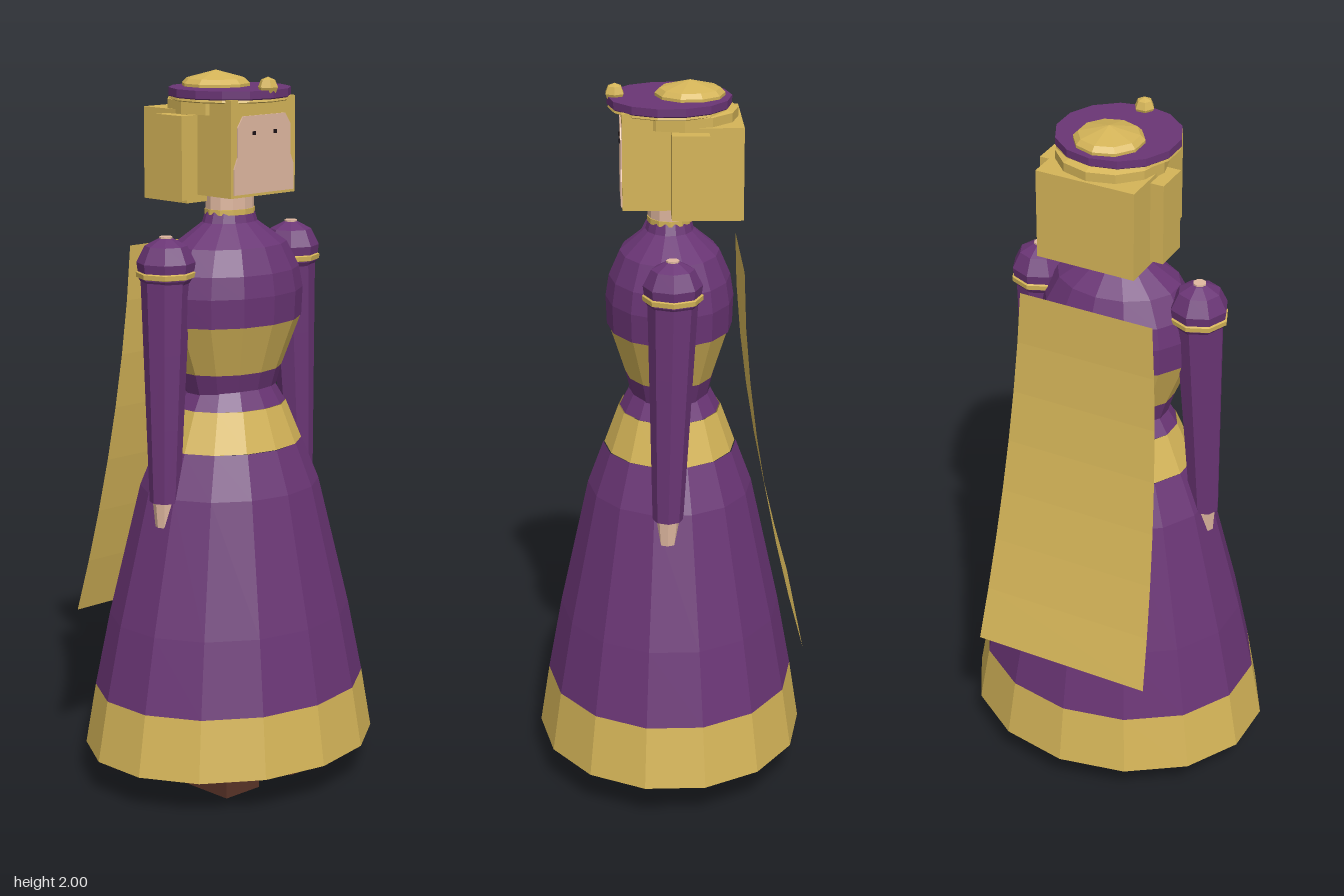
import * as THREE from 'three';

const mat = (name, color, side = THREE.FrontSide) => {
  const m = new THREE.MeshStandardMaterial({ color, side });
  m.name = name;
  return m;
};

export function createModel() {
  const purple = mat('purple cloth', 0x6a3575);
  const gold = mat('gold', 0xd4b458, THREE.DoubleSide);
  const skin = mat('skin', 0xe0b8a0);
  const brown = mat('brown leather', 0x5a3428);
  const dark = mat('dark eyes', 0x1a1015);

  const root = new THREE.Group();
  root.name = 'gownedLady';

  // Faceted mesh
  const add = (name, geometry, material, x = 0, y = 0, z = 0, parent = root) => {
    const g = geometry.index ? geometry.toNonIndexed() : geometry;
    g.computeVertexNormals();
    const mesh = new THREE.Mesh(g, material);
    mesh.name = name;
    mesh.position.set(x, y, z);
    parent.add(mesh);
    return mesh;
  };
  // Turned part from [radius, height] points, bottom to top, flattened in depth
  const turned = (name, points, material, sides, depth = 1, x = 0, z = 0, parent = root) =>
    add(name, new THREE.LatheGeometry(points.map(p => new THREE.Vector2(...p)), sides)
      .scale(1, 1, depth), material, x, 0, z, parent);
  // Box given by its limits
  const box = (name, material, x0, x1, y0, y1, z0, z1, parent = root) =>
    add(name, new THREE.BoxGeometry(x1 - x0, y1 - y0, z1 - z0), material,
      (x0 + x1) / 2, (y0 + y1) / 2, (z0 + z1) / 2, parent);

  // Skirt
  turned('skirtUnderside', [[0, 0.1], [0.438, 0.1]], purple, 14, 0.855);
  turned('skirtHem', [[0.441, 0.098], [0.41, 0.27]], gold, 14, 0.855);
  turned('skirt', [[0.41, 0.27], [0.365, 0.48], [0.27, 0.85], [0.218, 0.97]], purple, 14, 0.855);
  turned('belt', [[0.218, 0.97], [0.17, 1.08]], gold, 14, 0.84);
  turned('skirtTop', [[0.17, 1.08], [0.138, 1.13]], purple, 14, 0.82);

  // Bodice
  turned('waist', [[0.14, 1.11], [0.162, 1.18]], purple, 14, 0.76);
  turned('bodiceBand', [[0.162, 1.18], [0.222, 1.32]], gold, 14, 0.76);
  turned('bodice', [[0.222, 1.32], [0.226, 1.4], [0.214, 1.46], [0.175, 1.53],
    [0.085, 1.59], [0.075, 1.62]], purple, 14, 0.78);
  turned('collar', [[0.077, 1.612], [0.077, 1.627], [0, 1.627]], gold, 12, 0.8);
  turned('neck', [[0.074, 1.62], [0.074, 1.69]], skin, 12, 0.8);

  for (const s of [1, -1]) {
    // Arm
    const arm = new THREE.Group();
    arm.name = s > 0 ? 'leftArm' : 'rightArm';
    root.add(arm);
    turned('puffSleeve', [[0.064, 1.44], [0.074, 1.455], [0.08, 1.5], [0.058, 1.545], [0.02, 1.565],
      [0, 1.565]], purple, 8, 1, s * 0.24, 0, arm);
    turned('shoulderPoint', [[0.018, 1.563], [0.018, 1.57], [0, 1.57]], skin, 8, 1, s * 0.24, 0, arm);
    turned('sleeveBand', [[0.074, 1.458], [0.081, 1.46], [0.082, 1.473], [0.076, 1.476]],
      gold, 8, 1, s * 0.24, 0, arm);
    // Lower parts lean outward and slightly forward
    const lean = (name, top, bottom, y1, y0, material) => {
      const g = new THREE.CylinderGeometry(top, bottom, y1 - y0, 8, 3);
      g.translate(0, (y0 + y1) / 2, 0);
      const p = g.attributes.position;
      for (let i = 0; i < p.count; i++) {
        const t = (1.46 - p.getY(i)) / 0.62;
        p.setX(i, p.getX(i) + s * (0.242 + 0.02 * t));
        p.setZ(i, p.getZ(i) + 0.014 * t);
      }
      add(name, g, material, 0, 0, 0, arm);
    };
    lean('sleeve', 0.068, 0.042, 1.46, 0.84, purple);
    lean('hand', 0.034, 0.026, 0.845, 0.77, skin);

    // Shoe
    box('shoe', brown, s * 0.128 - 0.064, s * 0.128 + 0.064, 0, 0.11, -0.065, 0.185);
  }

  // Cape, flaring toward its lower edge
  const cape = new THREE.PlaneGeometry(1, 1, 1, 7);
  const cp = cape.attributes.position;
  for (let i = 0; i < cp.count; i++) {
    const t = 0.5 - cp.getY(i);
    cp.setXYZ(i, cp.getX(i) * 2 * (0.197 + 0.065 * t), 1.52 - 1.075 * t, -0.193 - 0.17 * t ** 1.8);
  }
  add('cape', cape, gold);

  // Head and hair
  const head = new THREE.Group();
  head.name = 'head';
  root.add(head);
  box('hairFrame', gold, -0.122, 0.122, 1.672, 1.935, -0.1, 0.13, head);
  box('backHair', gold, -0.142, 0.142, 1.648, 1.9, -0.193, -0.02, head);
  const face = new THREE.Shape();
  face.moveTo(-0.113, 1.68);
  for (const [x, y] of [[0.113, 1.68], [0.113, 1.75], [0.1, 1.78], [0.1, 1.86], [0.08, 1.89],
    [-0.08, 1.89], [-0.1, 1.86], [-0.1, 1.78], [-0.113, 1.75]]) face.lineTo(x, y);
  add('face', new THREE.ExtrudeGeometry(face, { depth: 0.004, bevelEnabled: false }), skin, 0, 0, 0.13, head);
  for (const s of [1, -1]) {
    box('sideHair', gold, s * 0.15 - 0.03, s * 0.15 + 0.03, 1.66, 1.888, -0.1, 0, head);
    box('eye', dark, s * 0.04 - 0.005, s * 0.04 + 0.005, 1.838, 1.848, 0.13, 0.137, head);
  }
  turned('hairCrown', [[0.15, 1.89], [0.15, 1.925], [0.11, 1.94]], gold, 12, 1, 0, -0.035, head);

  // Flat hat with domed top and front bead
  turned('hatBrim', [[0, 1.928], [0.158, 1.928], [0.168, 1.936], [0.168, 1.957], [0, 1.957]],
    purple, 14, 1, 0, 0, head);
  turned('hatEdge', [[0.16, 1.924], [0.166, 1.927], [0.164, 1.933]], gold, 14, 1, 0, 0, head);
  turned('hatDome', [[0.095, 1.955], [0.095, 1.965], [0.082, 1.978], [0, 2]], gold, 10, 1, 0, -0.055, head);
  add('hatBead', new THREE.SphereGeometry(0.028, 6, 4), gold, 0, 1.964, 0.147, head);

  return root;
}
